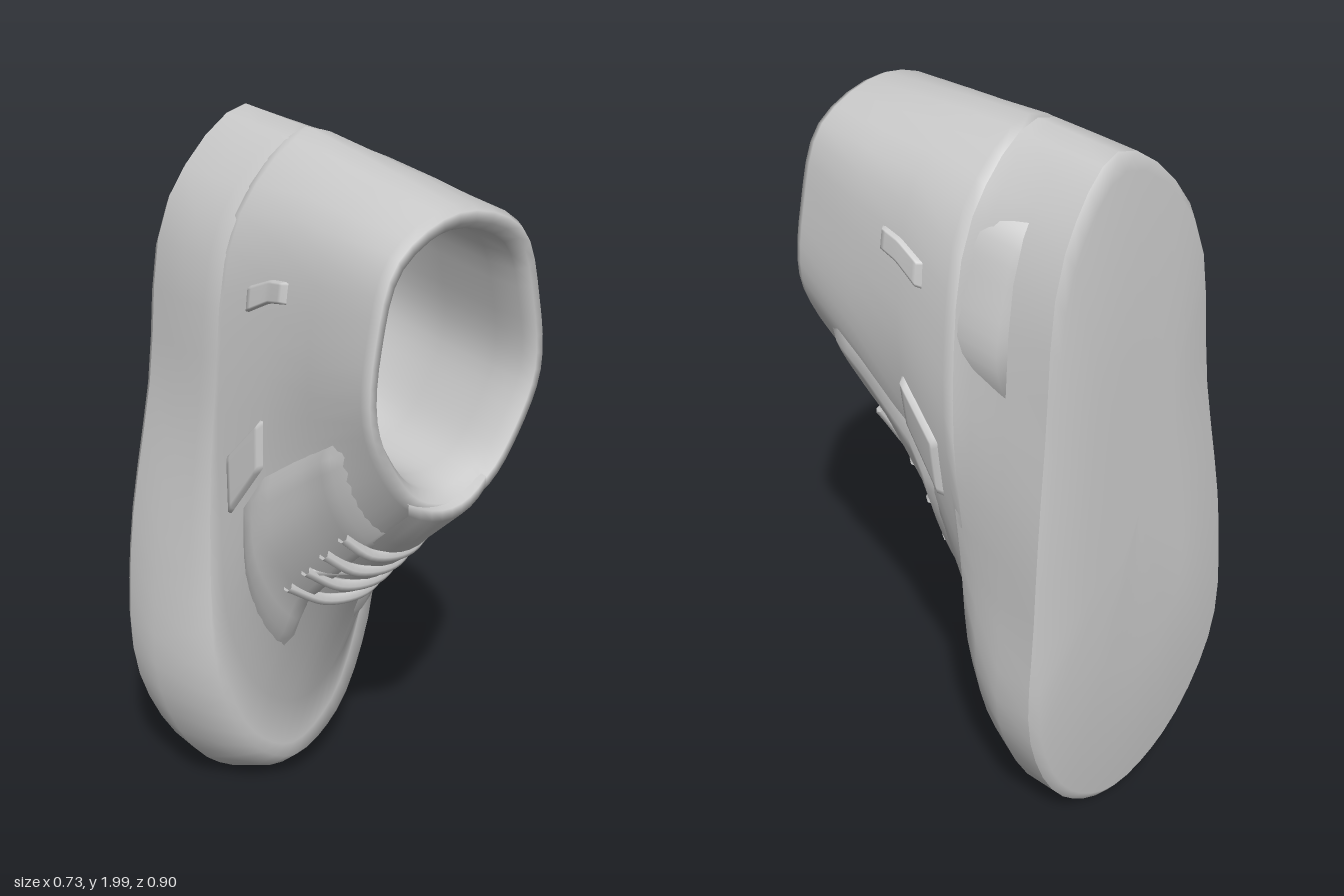
import * as THREE from 'three';

const grey = new THREE.MeshStandardMaterial({ color: 0xcccccc, side: THREE.DoubleSide });

// The low slices curl up towards the toe
const spring = (y, z) => z < -0.35 ? 0.045 * Math.pow(Math.max(0, 1 - y / 0.6), 1.4) : 0;

// Closed outline of one slice at depth z: toe height, then the right and left
// side x at 20%, 40% and 65% of the way to the heel; the round ends follow by rule
function slice(z, toeY, right, left) {
  const heelX = 0.06, heelY = 2 - 0.1 * Math.max(0, z + 0.1);
  const toeX = (right[0] + left[0]) / 2;
  const at = (x, t) => {
    const y = toeY + (heelY - toeY) * t;
    return new THREE.Vector3(x, y, z + spring(y, z));
  };
  const flank = ([a, b, c]) => [
    at(toeX + (a - toeX) * 0.56, 0.05), at(a, 0.2), at(b, 0.4), at(c, 0.65),
    at(heelX + (c - heelX) * 0.74, 0.9),
  ];
  const points = [at(toeX, 0), ...flank(right), at(heelX, 1), ...flank(left).reverse()];
  return new THREE.CatmullRomCurve3(points, true);
}

const slices = [
  slice(-0.42, 0.01, [-0.36, -0.36, -0.27], [0.30, 0.30, 0.27]),
  slice(-0.30, 0.01, [-0.36, -0.355, -0.27], [0.31, 0.30, 0.29]),
  slice(-0.20, 0.06, [-0.31, -0.31, -0.26], [0.29, 0.30, 0.31]),
  slice(-0.14, 0.12, [-0.265, -0.28, -0.25], [0.265, 0.30, 0.33]), // rim of the toe wall
  slice(-0.16, 0.15, [-0.24, -0.27, -0.245], [0.25, 0.30, 0.33]), // gutter behind it
  slice(-0.13, 0.32, [-0.23, -0.25, -0.24], [0.25, 0.31, 0.335]),
  slice(0.03, 0.72, [-0.22, -0.22, -0.205], [0.25, 0.32, 0.34]),
  slice(0.20, 0.93, [-0.18, -0.20, -0.20], [0.25, 0.34, 0.345]),
  slice(0.40, 1.15, [-0.14, -0.20, -0.19], [0.29, 0.355, 0.335]),
];

// Point on the outer skin: u runs around the shoe, v runs up through the slices
function skin(u, v) {
  const i = Math.min(Math.floor(v), slices.length - 2);
  return slices[i].getPoint(u).lerp(slices[i + 1].getPoint(u), v - i);
}

function skinNormal(u, v) {
  const du = skin(u + 0.004, v).sub(skin(u - 0.004, v));
  const dv = skin(u, v + 0.05).sub(skin(u, v - 0.05));
  return dv.cross(du).normalize();
}

// Surface through rows of points with equal counts
function sheet(rows, closed) {
  const n = rows[0].length, index = [];
  for (let j = 0; j < rows.length - 1; j++) {
    for (let i = 0; i < (closed ? n : n - 1); i++) {
      const a = j * n + i, b = j * n + (i + 1) % n;
      index.push(a, a + n, b, b, a + n, b + n);
    }
  }
  const g = new THREE.BufferGeometry().setFromPoints(rows.flat());
  g.setIndex(index);
  g.computeVertexNormals();
  return g;
}

function add(group, name, geometry) {
  const mesh = new THREE.Mesh(geometry, grey);
  mesh.name = name;
  group.add(mesh);
}

// Copy of a ring scaled about its middle and set at a new depth
function shrink(ring, s, z) {
  const c = new THREE.Box3().setFromPoints(ring).getCenter(new THREE.Vector3());
  return ring.map(p => {
    const y = c.y + (p.y - c.y) * s;
    return new THREE.Vector3(c.x + (p.x - c.x) * s, y, z + spring(y, z));
  });
}

// Raised piece of leather following the skin, its rim tucked in
function patch(u0, u1, v0, v1, lift) {
  const N = 12, rows = [];
  for (let j = 0; j <= N; j++) {
    rows.push(Array.from({ length: N + 1 }, (_, i) => {
      const u = u0 + (u1 - u0) * i / N, v = v0 + (v1 - v0) * j / N;
      const rim = i === 0 || j === 0 || i === N || j === N;
      return skin(u, v).addScaledVector(skinNormal(u, v), rim ? -0.004 : lift);
    }));
  }
  return sheet(rows, false);
}

export function createModel() {
  const shoe = new THREE.Group();
  shoe.name = 'shoe';

  // Sole, then the upper with its rolled collar and lining as one skin
  const outer = slices.map(c => Array.from({ length: 48 }, (_, i) => c.getPoint(i / 48)));
  const bottom = outer[0], top = outer[outer.length - 1];
  add(shoe, 'sole', sheet([
    shrink(bottom, 0.001, -0.447), shrink(bottom, 0.5, -0.447), shrink(bottom, 0.96, -0.445), bottom,
  ], true));
  const lining = [[0.97, 0.425], [0.9, 0.425], [0.84, 0.39], [0.82, 0.3], [0.84, 0.1], [0.84, -0.3], [0.001, -0.3]]
    .map(([s, z]) => shrink(top, s, z));
  add(shoe, 'upper', sheet([...outer, ...lining], true));

  // Quarter panels beside the lacing, with small tabs behind them
  for (const side of ['right', 'left']) {
    const u = k => side === 'right' ? k : 1 - k;
    add(shoe, side + 'QuarterPanel', patch(u(0.06), u(0.24), 5.5, 7.6, 0.014));
    add(shoe, side + 'SideTab', patch(u(0.245), u(0.285), 5.2, 6.0, 0.014));
    add(shoe, side + 'HeelTab', patch(u(0.36), u(0.375), 5.5, 6.4, 0.012));
  }

  // Tongue: a bowed strip rising up the instep and folding over at its tip
  const spine = [[0.76, 0.05], [1.04, 0.31], [1.16, 0.43], [1.19, 0.43], [1.2, 0.2]];
  add(shoe, 'tongue', sheet(spine.map(([y, z]) => Array.from({ length: 9 }, (_, i) => {
    const t = i / 4 - 1;
    return new THREE.Vector3(0.05 + t * 0.125, y + 0.04 * t * t, z + 0.02 * (1 - t * t));
  })), false));

  // Laces: four sagging rows and one crossing strand
  const lace = (...points) => add(shoe, 'lace',
    new THREE.TubeGeometry(new THREE.CatmullRomCurve3(points), 20, 0.018, 6));
  const P = (x, y, z) => new THREE.Vector3(x, y, z);
  for (let k = 0; k < 4; k++) {
    const y = 0.79 + 0.075 * k, z = 0.08 + 0.065 * k;
    lace(P(-0.17 + 0.01 * k, y + 0.07, z - 0.02), P(-0.06, y, z), P(0.07, y - 0.02, z), P(0.2, y + 0.015 * k, z - 0.05));
  }
  lace(P(-0.15, 0.93, 0.12), P(0, 0.92, 0.19), P(0.13, 0.94, 0.2), P(0.23, 1.1, 0.26));
  return shoe;
}
